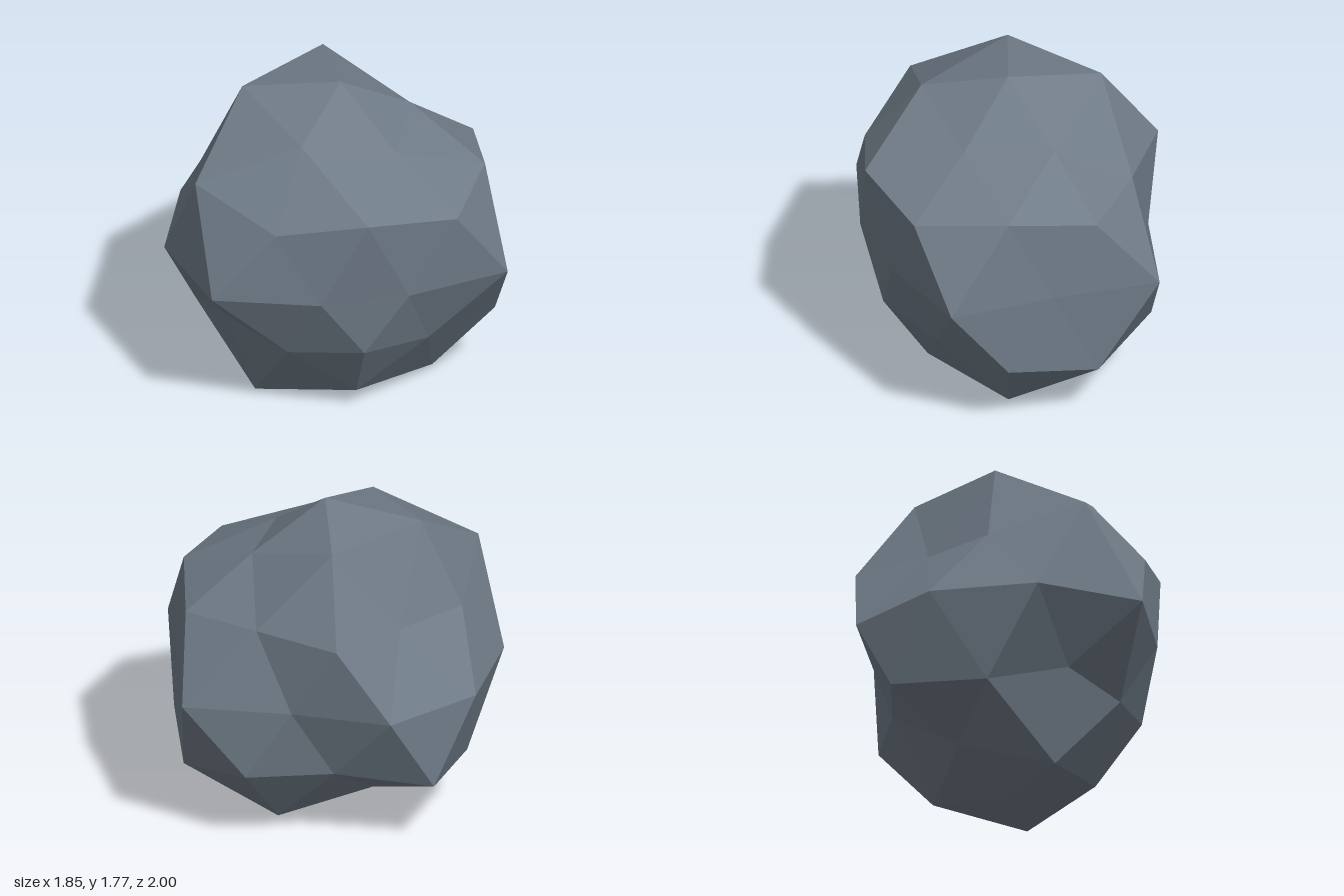
import * as THREE from 'three';

// Distance of every corner from the boulder's heart, ring by ring.
// Angles run from +x towards +z.
const EQUATOR = [0.77, 0.79, 1.0, 0.96, 0.95, 0.93, 0.75, 1.0, 0.78, 0.99];
const UPPER = {
  start: 0, sign: 1, pole: 0.93,
  cap: [0.77, 0.925, 1.01, 1.0, 0.8],
  corner: [0.96, 0.9, 0.845, 0.945, 0.9],
  between: [0.945, 1.04, 0.735, 0.82, 0.915],
};
const LOWER = {
  start: 36, sign: -1, pole: 0.835,
  cap: [0.86, 0.99, 0.76, 0.905, 0.94],
  corner: [0.785, 0.765, 1.01, 0.9, 0.93],
  between: [0.77, 0.92, 0.76, 0.96, 0.76],
};

// Point at a given angle, height ratio and distance
function point(degrees, height, r) {
  const a = THREE.MathUtils.degToRad(degrees);
  const flat = Math.sqrt(1 - height * height);
  return new THREE.Vector3(Math.cos(a) * flat * r, height * r, Math.sin(a) * flat * r);
}

// Twice-divided icosahedron with its corners pushed in and out
function rockGeometry() {
  const equator = EQUATOR.map((r, i) => point(18 + 36 * i, 0, r));
  const positions = [];

  for (const half of [UPPER, LOWER]) {
    const { start, sign } = half;
    const ring = (radii, offset, height) =>
      radii.map((r, i) => point(start + offset + 72 * i, sign * height, r));
    const pole = new THREE.Vector3(0, sign * half.pole, 0);
    const cap = ring(half.cap, 0, 0.8507);
    const corner = ring(half.corner, 0, 0.4472);
    const between = ring(half.between, 36, 0.5257);
    const shift = start / 36;

    const face = (a, b, c) => {
      for (const p of sign > 0 ? [a, c, b] : [a, b, c]) positions.push(p.x, p.y, p.z);
    };

    for (let k = 0; k < 5; k++) {
      const n = (k + 1) % 5;
      const e = (i) => equator[(2 * k + shift + i + 10) % 10];
      // polar cap
      face(pole, cap[k], cap[n]);
      face(cap[k], corner[k], between[k]);
      face(cap[k], between[k], cap[n]);
      face(between[k], corner[n], cap[n]);
      // band down to the equator
      face(corner[k], e(0), between[k]);
      face(between[k], e(0), e(1));
      face(between[k], e(1), corner[n]);
      face(corner[k], e(-1), e(0));
    }
  }

  const geometry = new THREE.BufferGeometry();
  geometry.setAttribute('position', new THREE.Float32BufferAttribute(positions, 3));
  geometry.computeVertexNormals();
  return geometry;
}

export function createModel() {
  const group = new THREE.Group();
  group.name = 'boulder';

  const material = new THREE.MeshStandardMaterial({ color: 0x6f7b87, flatShading: true });
  const rock = new THREE.Mesh(rockGeometry(), material);
  rock.name = 'rock';
  rock.position.set(-0.02, 0.842, 0);
  group.add(rock);

  return group;
}
